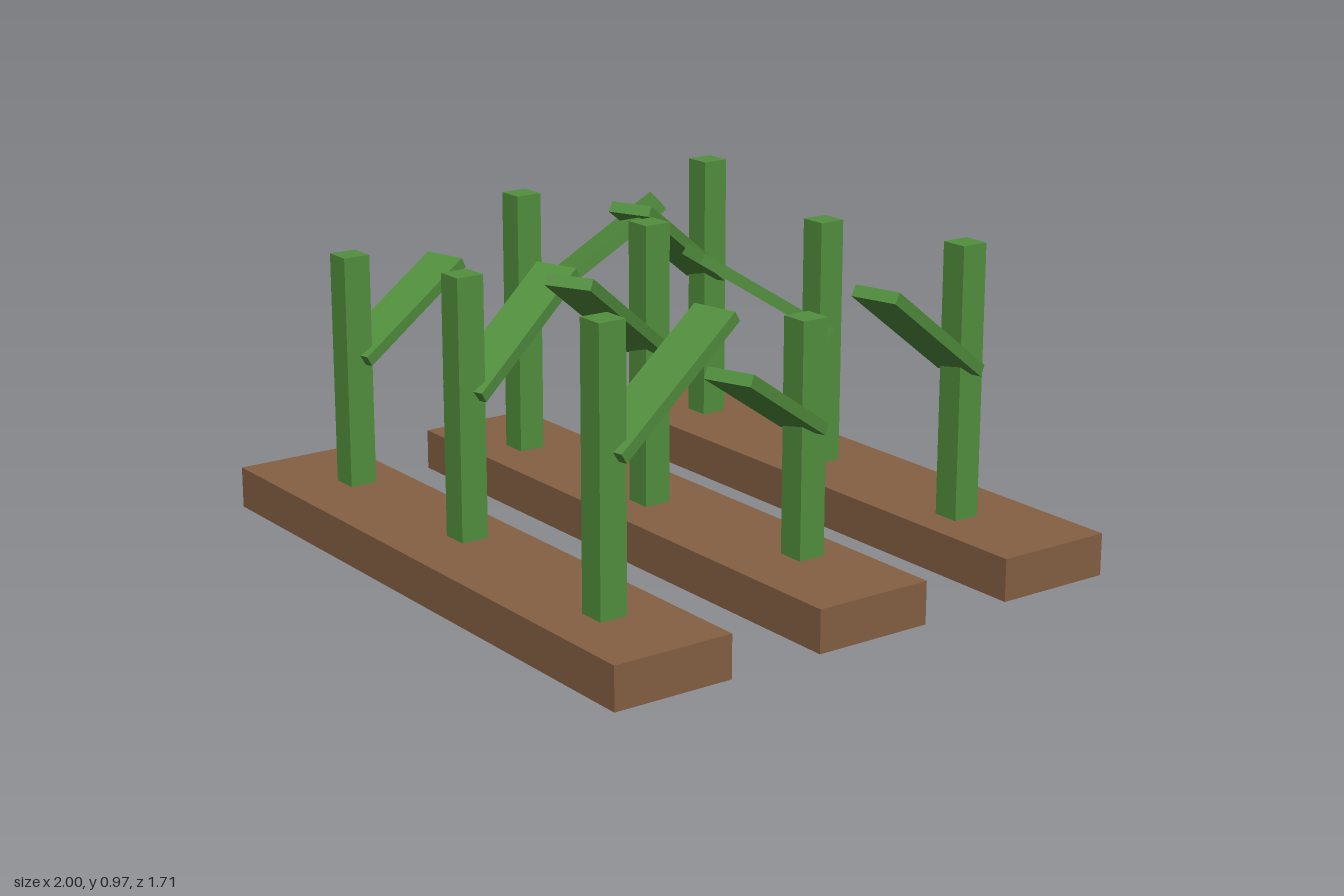
import * as THREE from 'three';

const BED_HEIGHT = 0.127;
const BED_DEPTH = 0.373;
const STALK_WIDTH = 0.085;

// Stalk: x, z, height above soil; leaf: heading in plan (dx, dz) and tilt in degrees
const PLANTS = [
  { x: -0.663, z: -0.687, h: 0.843, dir: [0.185, 0.452], tilt: 32.7 },
  { x: -0.027, z: -0.65, h: 0.763, dir: [-0.116, 0.43], tilt: 32.5 },
  { x: 0.631, z: -0.628, h: 0.818, dir: [0.12, 0.444], tilt: 34 },
  { x: -0.674, z: 0.024, h: 0.818, dir: [0.182, -0.405], tilt: 37 },
  { x: 0, z: 0.024, h: 0.848, dir: [0.216, 0.439], tilt: 33 },
  { x: 0.636, z: -0.045, h: 0.69, dir: [0.142, 0.386], tilt: 30.5 },
  { x: -0.674, z: 0.634, h: 0.708, dir: [-0.1, -0.41], tilt: 29.5 },
  { x: -0.043, z: 0.634, h: 0.773, dir: [-0.134, -0.427], tilt: 33 },
  { x: 0.695, z: 0.671, h: 0.808, dir: [-0.096, -0.455], tilt: 33.4 },
];

// Box without its underside, standing on y = 0
function openBottomBox(w, h, d) {
  const geo = new THREE.BoxGeometry(w, h, d).translate(0, h / 2, 0);
  const index = Array.from(geo.index.array);
  index.splice(18, 6);
  geo.setIndex(index);
  geo.clearGroups();
  return geo;
}

export function createModel() {
  const model = new THREE.Group();
  model.name = 'cropRows';

  const soil = new THREE.MeshStandardMaterial({ color: 0x856043, side: THREE.DoubleSide });
  soil.name = 'soilBrown';
  const green = new THREE.MeshStandardMaterial({ color: 0x528f3e });
  green.name = 'plantGreen';

  // Three soil beds, hollow underneath
  const bedGeo = openBottomBox(2, BED_HEIGHT, BED_DEPTH);
  for (const z of [-0.668, 0, 0.668]) {
    const bed = new THREE.Mesh(bedGeo, soil);
    bed.name = 'soilBed';
    bed.position.z = z;
    model.add(bed);
  }

  // Plants: a square stalk with one slanted leaf growing from its middle
  for (const { x, z, h, dir, tilt } of PLANTS) {
    const plant = new THREE.Group();
    plant.name = 'plant';
    plant.position.set(x, BED_HEIGHT, z);

    const stalk = new THREE.Mesh(
      new THREE.BoxGeometry(STALK_WIDTH, h, STALK_WIDTH).translate(0, h / 2, 0), green);
    stalk.name = 'stalk';

    const length = 0.66 * h;
    const leaf = new THREE.Mesh(
      new THREE.BoxGeometry(0.145, 0.035, length).translate(0, 0, length / 2), green);
    leaf.name = 'leaf';
    leaf.position.y = 0.55 * h;
    leaf.rotation.set(-THREE.MathUtils.degToRad(tilt), Math.atan2(dir[0], dir[1]), 0, 'YXZ');

    plant.add(stalk, leaf);
    model.add(plant);
  }
  return model;
}
